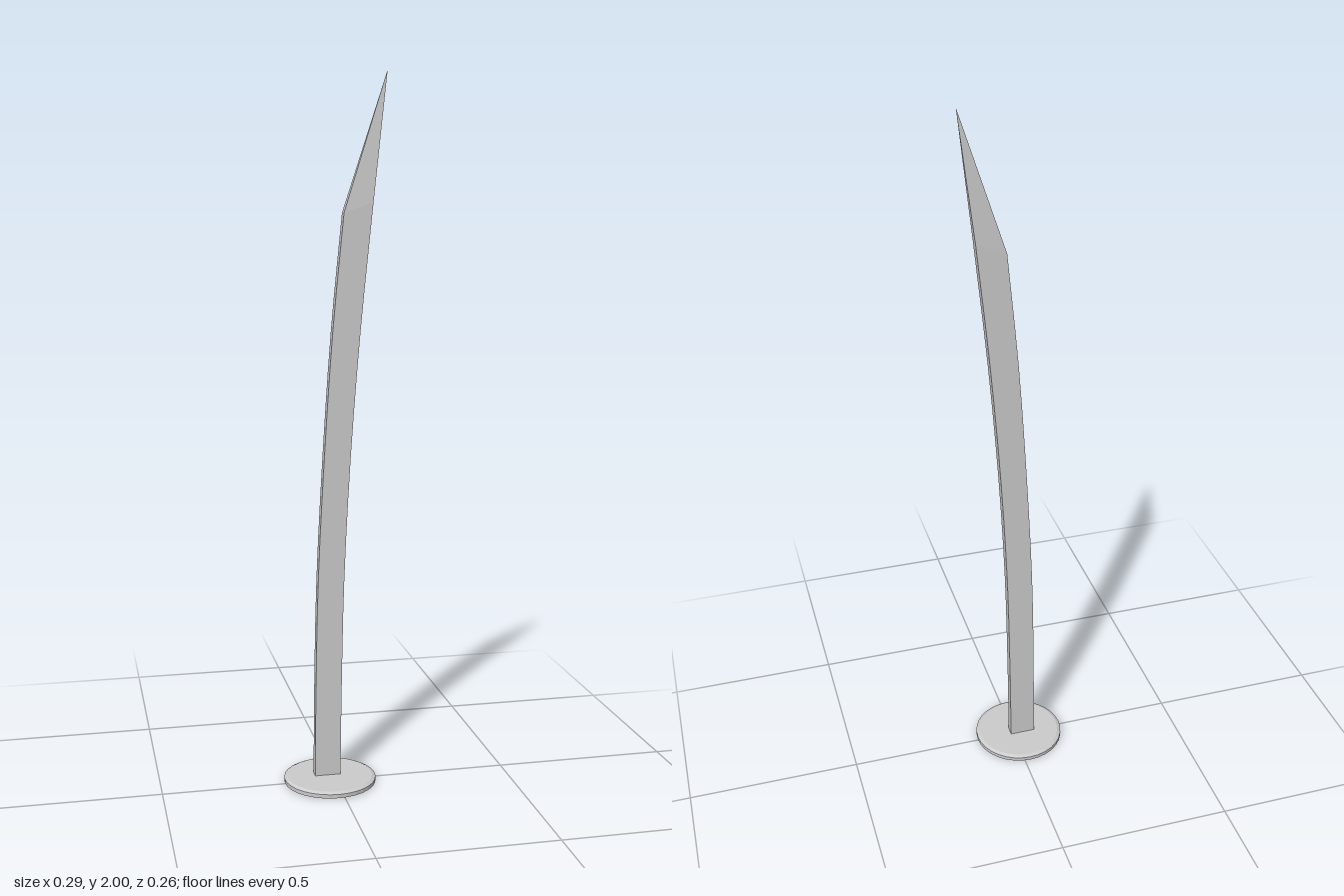
import * as THREE from 'three';

const material = new THREE.MeshStandardMaterial({ color: 0xcccccc, flatShading: true, side: THREE.DoubleSide });

// Curved single-edged blade: rectangular sections that converge on a point
function createBlade() {
  const curve = pts => new THREE.CatmullRomCurve3(pts.map(([x, y]) => new THREE.Vector3(x, y, 0)));
  const spine = curve([[-0.061, 0], [-0.058, 0.3], [-0.051, 0.6], [-0.033, 0.95], [-0.009, 1.3], [0.022, 1.62]]);
  const edge = curve([[0.013, 0], [0.017, 0.3], [0.024, 0.6], [0.042, 0.95], [0.069, 1.3], [0.104, 1.65]]);
  const steps = 15, half = 0.0135, zMid = -0.0085;
  const position = [], index = [];
  for (let i = 0; i <= steps; i++) {
    const s = spine.getPoint(i / steps), e = edge.getPoint(i / steps);
    for (const [p, side] of [[s, 1], [e, 1], [e, -1], [s, -1]]) position.push(p.x, p.y, zMid + side * half);
  }
  for (let i = 0; i < steps; i++) {
    for (let k = 0; k < 4; k++) {
      const a = i * 4 + k, b = i * 4 + (k + 1) % 4;
      index.push(a, b, b + 4, a, b + 4, a + 4);
    }
  }
  // pointed tip and bottom cap
  const tip = position.length / 3;
  position.push(0.145, 2, -0.011);
  for (let k = 0; k < 4; k++) index.push(steps * 4 + k, steps * 4 + (k + 1) % 4, tip);
  index.push(0, 2, 1, 0, 3, 2);

  const geometry = new THREE.BufferGeometry();
  geometry.setAttribute('position', new THREE.Float32BufferAttribute(position, 3));
  geometry.setIndex(index);
  const flat = geometry.toNonIndexed();
  flat.computeVertexNormals();
  return new THREE.Mesh(flat, material);
}

// Thin round hand guard with a bevelled upper rim
function createGuard() {
  const profile = [[0, 0.002], [0.132, 0.002], [0.132, 0.013], [0.122, 0.018], [0, 0.018]];
  const geometry = new THREE.LatheGeometry(profile.map(([r, y]) => new THREE.Vector2(r, y)), 32);
  const guard = new THREE.Mesh(geometry, material);
  guard.position.x = -0.017;
  return guard;
}

export function createModel() {
  const model = new THREE.Group();
  model.name = 'curvedSword';
  const blade = createBlade();
  blade.name = 'blade';
  const guard = createGuard();
  guard.name = 'guard';
  model.add(blade, guard);
  return model;
}
